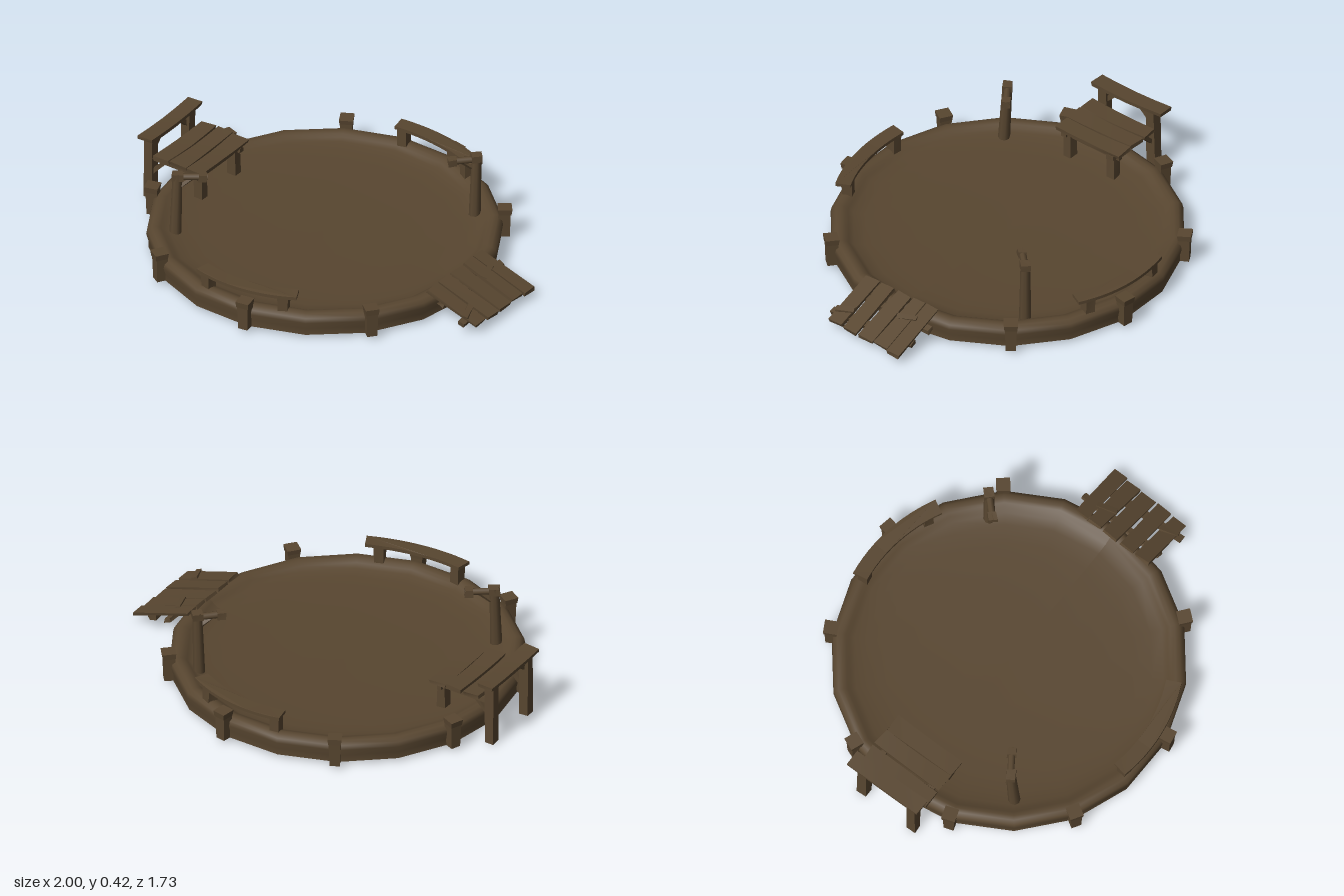
import * as THREE from 'three';

const wood = new THREE.MeshStandardMaterial({ color: 0x584630, side: THREE.DoubleSide });
wood.name = 'dark wood';
const CX = -0.06; // centre of the round deck on x

let seed = 7;
const rand = () => { seed = (seed * 16807) % 2147483647; return seed / 2147483647 - 0.5; };

function add(parent, name, geometry, pos = [0, 0, 0]) {
  const mesh = new THREE.Mesh(geometry, wood);
  mesh.name = name;
  mesh.position.set(...pos);
  parent.add(mesh);
  return mesh;
}

// Rough-hewn box: corners nudged a little, ends along z lifted by sag
function roughBox(w, h, d, rough = 0.006, sag = 0) {
  const g = new THREE.BoxGeometry(w, h, d, 1, 1, sag ? 4 : 1);
  const nudges = Array.from({ length: 8 }, () => [rand() * rough, rand() * rough * 0.5, rand() * rough]);
  const p = g.attributes.position;
  for (let i = 0; i < p.count; i++) {
    const z = p.getZ(i);
    const n = nudges[(p.getX(i) > 0 ? 1 : 0) + (p.getY(i) > 0 ? 2 : 0) + (z > 0 ? 4 : 0)];
    const t = (2 * z) / d;
    p.setXYZ(i, p.getX(i) + n[0] * Math.abs(t), p.getY(i) + n[1] * Math.abs(t) + sag * t * t, z + n[2] * Math.abs(t));
  }
  g.computeVertexNormals();
  return g;
}

// Place a geometry that is built along y so it runs from a to b
function span(parent, name, a, b, makeGeometry) {
  const from = new THREE.Vector3(...a), to = new THREE.Vector3(...b);
  const dir = to.clone().sub(from);
  const mesh = add(parent, name, makeGeometry(dir.length()));
  mesh.position.copy(from).add(to).multiplyScalar(0.5);
  mesh.quaternion.setFromUnitVectors(new THREE.Vector3(0, 1, 0), dir.normalize());
  return mesh;
}
const beam = (parent, name, a, b, w, d = w) => span(parent, name, a, b, (len) => roughBox(w, len, d));
const log = (parent, name, a, b, r0, r1) =>
  span(parent, name, a, b, (len) => new THREE.CylinderGeometry(r1, r0, len, 8));

// Shallow dish: outer wall, rounded rim and slightly uneven floor, open underneath
function buildDeck(root) {
  const profile = [
    [0.822, 0.016], [0.822, 0.05], [0.832, 0.085], [0.827, 0.108], [0.807, 0.122], [0.785, 0.124],
    [0.765, 0.118], [0.75, 0.108], [0.725, 0.096], [0.67, 0.087], [0.58, 0.081], [0.42, 0.077], [0.22, 0.075], [0, 0.074],
  ].map(([r, y]) => new THREE.Vector2(r, y));
  const g = new THREE.LatheGeometry(profile, 18, Math.PI / 2);
  const p = g.attributes.position;
  for (let i = 0; i < p.count; i++) {
    const r = Math.hypot(p.getX(i), p.getZ(i));
    if (r < 0.74) p.setY(i, p.getY(i) - 0.009 * p.getX(i)); // floor falls towards the ramp
  }
  g.computeVertexNormals();
  add(root, 'roundDeck', g, [CX, 0, 0]);
}

// Short stakes around the rim with flared square heads
function buildStakes(root) {
  const spots = [[-0.85, -0.3], [-0.47, -0.73], [0.09, -0.835], [0.58, -0.54],
    [-0.83, 0.27], [-0.48, 0.72], [0.085, 0.83], [0.585, 0.52]];
  spots.forEach(([x, z], i) => {
    const stake = new THREE.Group();
    stake.name = 'rimStake' + (i + 1);
    const angle = Math.atan2(z, x - CX);
    stake.position.set(CX + 0.835 * Math.cos(angle), 0, 0.835 * Math.sin(angle));
    stake.rotation.y = -angle;
    const body = new THREE.CylinderGeometry(0.04, 0.034, 0.13, 4, 1).toNonIndexed();
    const head = new THREE.CylinderGeometry(0.047, 0.042, 0.03, 4, 1).toNonIndexed();
    for (const g of [body, head]) g.rotateY(Math.PI / 4).computeVertexNormals();
    add(stake, 'stakeBody', body, [0, 0.081, 0]);
    add(stake, 'stakeHead', head, [0.002, 0.15, 0]).rotation.z = rand() * 0.12;
    root.add(stake);
  });
}

// Curved, slightly sagging bench on the rim; side is +1 for front, -1 for back
function buildRimBench(root, side) {
  const bench = new THREE.Group();
  bench.name = side > 0 ? 'frontRimBench' : 'backRimBench';
  const a0 = THREE.MathUtils.degToRad(63), a1 = THREE.MathUtils.degToRad(100.5);
  const shape = new THREE.Shape();
  shape.absarc(0, 0, 0.818, a0, a1, false);
  shape.absarc(0, 0, 0.745, a1, a0, true);
  const g = new THREE.ExtrudeGeometry(shape, { depth: 0.016, bevelEnabled: false, curveSegments: 6 });
  const p = g.attributes.position;
  for (let i = 0; i < p.count; i++) {
    const t = (Math.atan2(p.getY(i), p.getX(i)) - (a0 + a1) / 2) / ((a1 - a0) / 2);
    p.setZ(i, p.getZ(i) - side * 0.006 * t * t);
  }
  g.computeVertexNormals();
  const plank = add(bench, 'curvedPlank', g);
  plank.rotation.x = side * Math.PI / 2;
  plank.position.set(CX, side > 0 ? 0.21 : 0.194, 0);
  for (const deg of [98, 68]) {
    const a = THREE.MathUtils.degToRad(deg);
    const leg = add(bench, 'benchLeg', roughBox(0.048, 0.1, 0.05),
      [CX + 0.775 * Math.cos(a), 0.148, side * 0.775 * Math.sin(a)]);
    leg.rotation.y = side * (Math.PI / 2 - a);
  }
  root.add(bench);
}

// Upright post with a short arm, square heads and a brace
function buildArmPost(root, name, base, top, tip) {
  const post = new THREE.Group();
  post.name = name;
  const ux = tip[0] - top[0], uz = tip[1] - top[2];
  const turn = -Math.atan2(uz, ux);
  log(post, 'post', base, top, 0.029, 0.023);
  add(post, 'postHead', roughBox(0.05, 0.034, 0.046), [top[0], top[1] - 0.017, top[2]]).rotation.y = turn;
  log(post, 'arm', [top[0], 0.388, top[2]], [tip[0], 0.388, tip[1]], 0.016, 0.017);
  add(post, 'armHead', roughBox(0.04, 0.036, 0.042),
    [tip[0] - ux * 0.15, 0.387, tip[1] - uz * 0.15]).rotation.y = turn;
  beam(post, 'armBrace', [top[0], 0.325, top[2]], [top[0] + ux * 0.5, 0.38, top[2] + uz * 0.5], 0.016);
  root.add(post);
}

// Plank table with a raised beam on its outer side
function buildTable(root) {
  const table = new THREE.Group();
  table.name = 'plankTable';
  for (const s of [-1, 1]) {
    beam(table, 'tallPost', [-0.958, 0, s * 0.145], [-0.955, 0.322, s * 0.145], 0.048);
    beam(table, 'innerLeg', [-0.68, 0.07, s * 0.13], [-0.68, 0.225, s * 0.13], 0.045);
    beam(table, 'sideRail', [-0.97, 0.218, s * 0.14], [-0.645, 0.218, s * 0.14], 0.026, 0.03);
    beam(table, 'railBrace', [-0.945, 0.14, s * 0.145], [-0.875, 0.21, s * 0.145], 0.02);
    beam(table, 'beamBrace', [-0.955, 0.245, s * 0.14], [-0.955, 0.315, s * 0.07], 0.02);
  }
  const topBeam = add(table, 'topPlank', roughBox(0.078, 0.018, 0.41, 0.012, 0.008), [-0.959, 0.324, -0.01]);
  topBeam.rotation.y = 0.02;
  add(table, 'crossBar', roughBox(0.022, 0.03, 0.34), [-0.68, 0.214, 0]);
  [-0.87, -0.775, -0.683].forEach((x, i) => {
    const plank = add(table, 'seatPlank' + (i + 1), roughBox(0.085, 0.018, 0.375, 0.01, 0.006), [x, 0.239 + (i % 2) * 0.003, -0.005]);
    plank.rotation.y = rand() * 0.03;
  });
  root.add(table);
}

// Sloping plank ramp on the opposite side
function buildRamp(root) {
  const ramp = new THREE.Group();
  ramp.name = 'ramp';
  ramp.position.set(0.842, 0.092, 0);
  ramp.rotation.z = -0.32;
  // plank centre z, width, outer end x
  [[-0.168, 0.066, 0.162], [-0.088, 0.075, 0.145], [0.003, 0.084, 0.146], [0.1, 0.08, 0.147], [0.187, 0.076, 0.14]]
    .forEach(([z, width, end], i) => {
      const plank = add(ramp, 'rampPlank' + (i + 1), roughBox(end + 0.155, 0.016, width, 0.01),
        [(end - 0.155) / 2, rand() * 0.006, z]);
      plank.rotation.y = rand() * 0.03;
    });
  [-0.055, 0.068].forEach((x, i) => {
    const bar = add(ramp, 'rampCrossbar', roughBox(0.034, 0.02, 0.46, 0.01), [x, -0.016, i ? 0.025 : 0]);
    bar.rotation.y = i ? 0.06 : -0.03;
  });
  // Loose repair slats
  add(ramp, 'repairSlat', roughBox(0.028, 0.01, 0.1), [-0.045, 0.012, -0.1]).rotation.y = 0.3;
  add(ramp, 'repairSlat', roughBox(0.028, 0.01, 0.09), [0.06, 0.012, 0.19]).rotation.y = 0.35;
  root.add(ramp);
}

export function createModel() {
  const root = new THREE.Group();
  root.name = 'roundWoodenPlatform';
  buildDeck(root);
  buildStakes(root);
  buildRimBench(root, 1);
  buildRimBench(root, -1);
  buildArmPost(root, 'frontArmPost', [-0.59, 0.07, 0.453], [-0.592, 0.408, 0.432], [-0.48, 0.35]);
  buildArmPost(root, 'backArmPost', [0.432, 0.065, -0.505], [0.438, 0.414, -0.512], [0.345, -0.415]);
  buildTable(root);
  buildRamp(root);
  return root;
}
